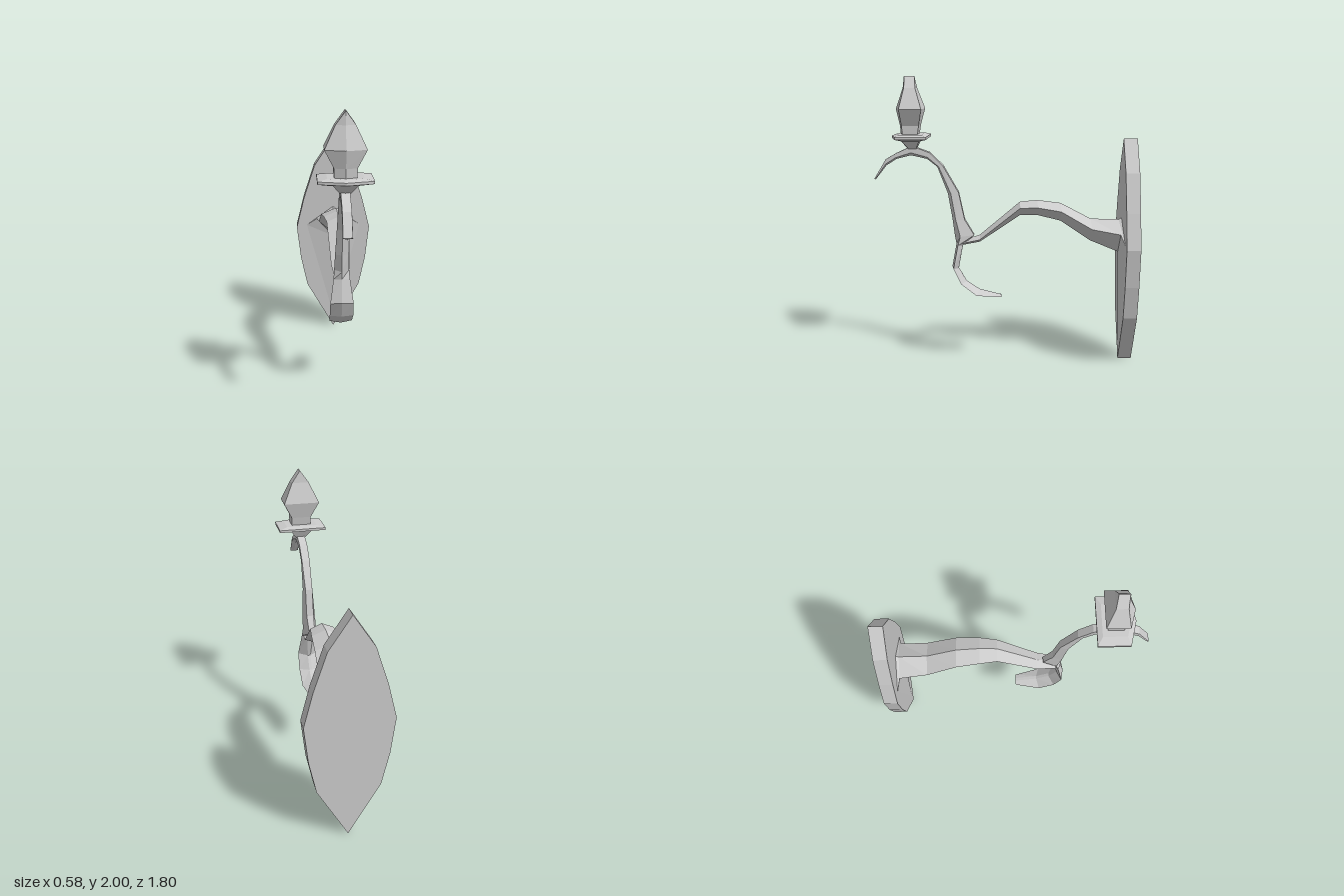
import * as THREE from 'three';

const material = new THREE.MeshStandardMaterial({ color: 0xcccccc, flatShading: true });

// Skin a series of equal-length rings of [x, y, z] points and cap both ends.
// Rings run counter-clockwise about the direction of travel.
function loft(name, rings) {
  const n = rings[0].length;
  const pos = [];
  const tri = (a, b, c) => pos.push(...a, ...b, ...c);
  for (let r = 0; r < rings.length - 1; r++) {
    const a = rings[r], b = rings[r + 1];
    for (let i = 0; i < n; i++) {
      const j = (i + 1) % n;
      tri(a[i], a[j], b[j]);
      tri(a[i], b[j], b[i]);
    }
  }
  const first = rings[0], last = rings[rings.length - 1];
  for (let i = 1; i < n - 1; i++) {
    tri(first[0], first[i + 1], first[i]);
    tri(last[0], last[i], last[i + 1]);
  }
  const geometry = new THREE.BufferGeometry();
  geometry.setAttribute('position', new THREE.Float32BufferAttribute(pos, 3));
  geometry.computeVertexNormals();
  const mesh = new THREE.Mesh(geometry, material);
  mesh.name = name;
  return mesh;
}

// Leaf-shaped wall plate
function wallPlate() {
  const side = [[0.21, 0.37], [0.26, 0.6], [0.29, 0.86], [0.23, 1.1], [0.145, 1.36]];
  const outline = [[0, 0], ...side, [0, 1.58], ...side.map(([x, y]) => [-x, y]).reverse()];
  const shape = new THREE.Shape(outline.map(([x, y]) => new THREE.Vector2(x, y)));
  const geometry = new THREE.ExtrudeGeometry(shape, { depth: 0.095, bevelEnabled: false });
  const mesh = new THREE.Mesh(geometry, material);
  mesh.position.z = -0.9;
  mesh.name = 'wallPlate';
  return mesh;
}

// Diamond-section arm, flaring where it meets the plate
function arm() {
  // z, top, side height, bottom, half width
  const stations = [
    [-0.805, 1.03, 0.88, 0.1, 0.21],
    [-0.785, 1.02, 0.935, 0.79, 0.13],
    [-0.59, 1.025, 0.97, 0.87, 0.12],
    [-0.38, 1.135, 1.09, 1.01, 0.108],
    [-0.22, 1.155, 1.115, 1.05, 0.096],
    [-0.1, 1.145, 1.11, 1.05, 0.08],
    [0.18, 0.91, 0.885, 0.86, 0.062],
    [0.33, 0.86, 0.85, 0.83, 0.045],
  ];
  return loft('arm', stations.map(([z, top, mid, bottom, w]) =>
    [[w, mid, z], [0, top, z], [-w, mid, z], [0, bottom, z]]));
}

// Curling stem, from the lower leaf tip up and over to the front tip
function stem() {
  // front edge z, y; back edge z, y; half width at the sides; half width at the back
  const stations = [
    [0.03, 0.465, 0.03, 0.475, 0.04, 0.01],
    [0.21, 0.475, 0.185, 0.515, 0.078, 0.01],
    [0.325, 0.57, 0.275, 0.575, 0.08, 0.01],
    [0.375, 0.685, 0.33, 0.67, 0.078, 0.01],
    [0.345, 0.845, 0.3, 0.835, 0.055, 0.02],
    [0.355, 0.9, 0.22, 0.91, 0.05, 0.02],
    [0.37, 1.02, 0.285, 1.02, 0.045, 0.025],
    [0.4, 1.2, 0.325, 1.21, 0.035, 0.025],
    [0.47, 1.385, 0.43, 1.395, 0.03, 0.028],
    [0.54, 1.44, 0.52, 1.485, 0.03, 0.028],
    [0.65, 1.465, 0.64, 1.53, 0.03, 0.028],
    [0.75, 1.44, 0.75, 1.48, 0.03, 0.028],
    [0.82, 1.395, 0.82, 1.44, 0.03, 0.028],
    [0.895, 1.3, 0.9, 1.308, 0.03, 0.028],
  ];
  return loft('stem', stations.map(([fz, fy, bz, by, w, bw]) => {
    const sz = fz + (bz - fz) * 0.3, sy = fy + (by - fy) * 0.3;
    return [[0, fy, fz], [w, sy, sz], [bw, by, bz], [-bw, by, bz], [-w, sy, sz]];
  }));
}

// Five-sided upright part: y, half width, back z, corner z, front ridge z
function upright(name, levels) {
  return loft(name, levels.map(([y, w, back, corner, front]) =>
    [[0, y, front], [w, y, corner], [w, y, back], [-w, y, back], [-w, y, corner]]));
}

export function createModel() {
  const model = new THREE.Group();
  model.name = 'wallSconce';
  model.add(
    wallPlate(),
    arm(),
    stem(),
    upright('dripTray', [
      [1.51, 0.035, 0.61, 0.66, 0.67],
      [1.565, 0.075, 0.585, 0.7, 0.72],
      [1.583, 0.168, 0.527, 0.735, 0.777],
      [1.6, 0.168, 0.527, 0.735, 0.777],
      [1.612, 0.11, 0.56, 0.715, 0.745],
    ]),
    upright('flame', [
      [1.605, 0.068, 0.595, 0.695, 0.715],
      [1.67, 0.07, 0.585, 0.7, 0.72],
      [1.78, 0.126, 0.56, 0.71, 0.745],
      [1.92, 0.06, 0.605, 0.68, 0.695],
      [2.0, 0.003, 0.615, 0.682, 0.685],
    ]),
  );
  return model;
}
